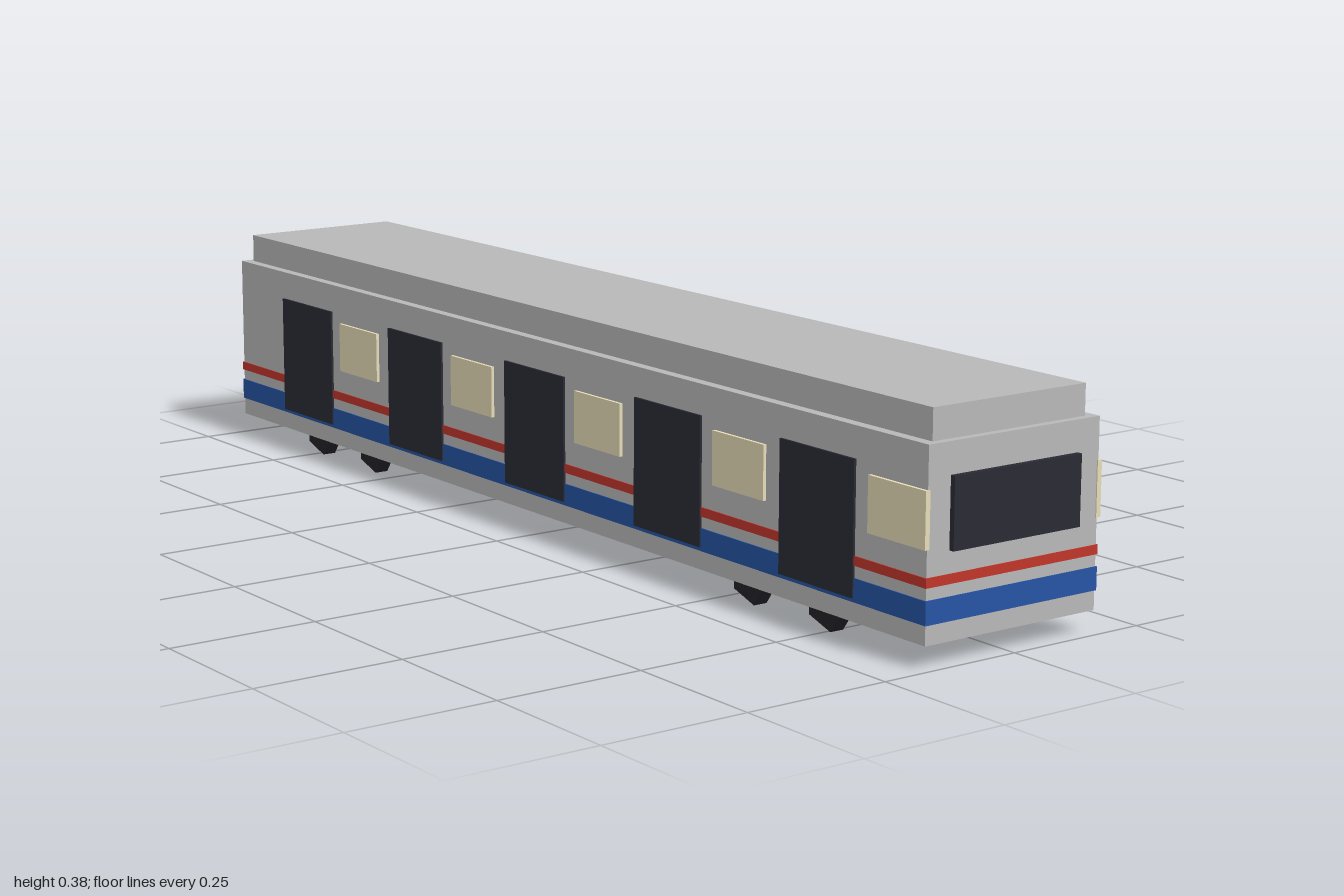
import * as THREE from 'three';

const mat = (name, color) => {
  const m = new THREE.MeshStandardMaterial({ color });
  m.name = name;
  return m;
};

export function createModel() {
  const silver = mat('silver', 0xb8b8b8);
  const blue = mat('blue', 0x2653a4);
  const red = mat('red', 0xc0352a);
  const darkGlass = mat('dark glass', 0x2a2a35);
  const cream = mat('cream', 0xf2e7c1);
  const black = mat('black', 0x222228);

  const train = new THREE.Group();
  train.name = 'railCar';

  // Box given by its extents along each axis
  const box = (name, material, [x0, x1], [y0, y1], [z0, z1]) => {
    const mesh = new THREE.Mesh(new THREE.BoxGeometry(x1 - x0, y1 - y0, z1 - z0), material);
    mesh.position.set((x0 + x1) / 2, (y0 + y1) / 2, (z0 + z1) / 2);
    mesh.name = name;
    train.add(mesh);
  };

  // Shell and raised roof
  box('body', silver, [-0.998, 0.991], [0.036, 0.335], [-0.168, 0.168]);
  box('roof', silver, [-0.984, 0.978], [0.335, 0.385], [-0.15, 0.15]);

  // Stripes wrapping all four sides
  box('blueStripe', blue, [-1, 0.993], [0.067, 0.104], [-0.17, 0.17]);
  box('redStripe', red, [-1, 0.993], [0.123, 0.138], [-0.17, 0.17]);

  // Windscreen on the driving end
  box('windscreen', darkGlass, [0.99, 1], [0.173, 0.285], [-0.125, 0.125]);

  // Doors and windows alternate along both sides
  for (const side of [1, -1]) {
    const depth = (d) => (side > 0 ? [0.165, d] : [-d, -0.165]);
    for (let i = 0; i < 5; i++) {
      const doorX = -0.75 + i * 0.3735;
      const windowX = doorX + 0.185;
      box('door', darkGlass, [doorX - 0.0875, doorX + 0.0875], [0.073, 0.285], depth(0.172));
      box('window', cream, [windowX - 0.064, windowX + 0.064], [0.18, 0.268], depth(0.1735));
    }
  }

  // Five-sided wheels, one corner pointing forward
  const wheelGeometry = new THREE.CylinderGeometry(0.0455, 0.0455, 0.025, 5)
    .rotateY(Math.PI / 2).rotateX(Math.PI / 2).toNonIndexed();
  wheelGeometry.computeVertexNormals();
  for (const x of [-0.749, -0.563, 0.556, 0.742]) {
    for (const z of [-0.1375, 0.1375]) {
      const wheel = new THREE.Mesh(wheelGeometry, black);
      wheel.name = 'wheel';
      wheel.position.set(x, 0.0433, z);
      // Cylinder starts its first corner on +z, so the turn above puts it on +x
      train.add(wheel);
    }
  }
  return train;
}
